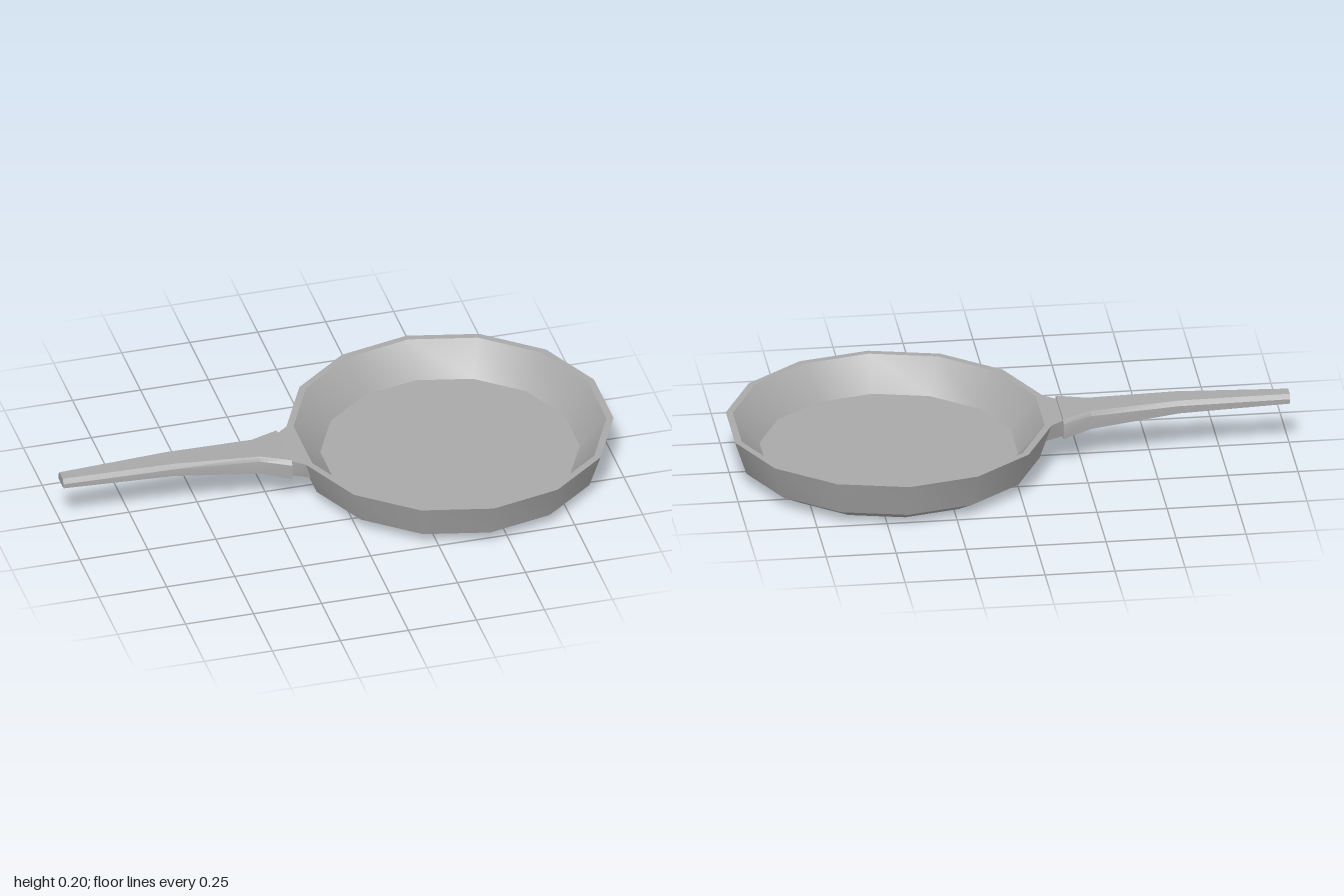
import * as THREE from 'three';
import { toCreasedNormals } from 'three/addons/utils/BufferGeometryUtils.js';
import { ConvexGeometry } from 'three/addons/geometries/ConvexGeometry.js';

const CREASE = 0.56;
const PAN_X = 0.43;

// Joins hexagonal cross-sections along x: [x, top, mid, bottom, topHalfWidth, midHalfWidth]
function loft(sections) {
  const pos = [];
  const index = [];
  for (const [x, top, mid, bottom, w, W] of sections) {
    pos.push(x, top, -w, x, top, w, x, mid, W, x, bottom, W, x, bottom, -W, x, mid, -W);
  }
  const last = (sections.length - 1) * 6;
  for (let i = 0; i < last; i += 6) {
    for (let j = 0; j < 6; j++) {
      const a = i + j;
      const b = i + (j + 1) % 6;
      index.push(a, b, a + 6, b, b + 6, a + 6);
    }
  }
  for (let j = 1; j < 5; j++) {
    index.push(0, j + 1, j, last, last + j, last + j + 1);
  }
  const geometry = new THREE.BufferGeometry();
  geometry.setAttribute('position', new THREE.Float32BufferAttribute(pos, 3));
  geometry.setIndex(index);
  return geometry;
}

export function createModel() {
  const group = new THREE.Group();
  group.name = 'fryingPan';
  const metal = new THREE.MeshStandardMaterial({ color: 0xa8a8a8 });
  metal.name = 'grey metal';

  const add = (name, geometry) => {
    const mesh = new THREE.Mesh(toCreasedNormals(geometry, CREASE), metal);
    mesh.name = name;
    group.add(mesh);
    return mesh;
  };

  // Fourteen-sided bowl: underside, chamfer, flared wall, flat rim, inner wall, floor
  const profile = [
    [0, 0], [0.455, 0], [0.537, 0.047], [0.58, 0.175],
    [0.555, 0.175], [0.46, 0.062], [0, 0.062],
  ].map(([r, y]) => new THREE.Vector2(r, y));
  add('bowl', new THREE.LatheGeometry(profile, 14)).position.x = PAN_X;

  // Flared bracket, flush with the rim and following the slope of the wall
  const corners = [];
  for (const s of [-1, 1]) {
    corners.push(
      new THREE.Vector3(-0.19, 0.175, s * 0.085),
      new THREE.Vector3(-0.19, 0.113, s * 0.085),
      new THREE.Vector3(-0.135, 0.175, s * 0.129),
      new THREE.Vector3(-0.113, 0.113, s * 0.124),
    );
  }
  add('handleBracket', new ConvexGeometry(corners));

  // Tapered handle with bevelled upper edges, flaring out at the bracket
  add('handle', loft([
    [-1, 0.199, 0.183, 0.166, 0.022, 0.034],
    [-0.6, 0.204, 0.187, 0.159, 0.04, 0.051],
    [-0.285, 0.19, 0.174, 0.124, 0.056, 0.066],
    [-0.18, 0.184, 0.168, 0.111, 0.1, 0.112],
  ]));

  return group;
}
